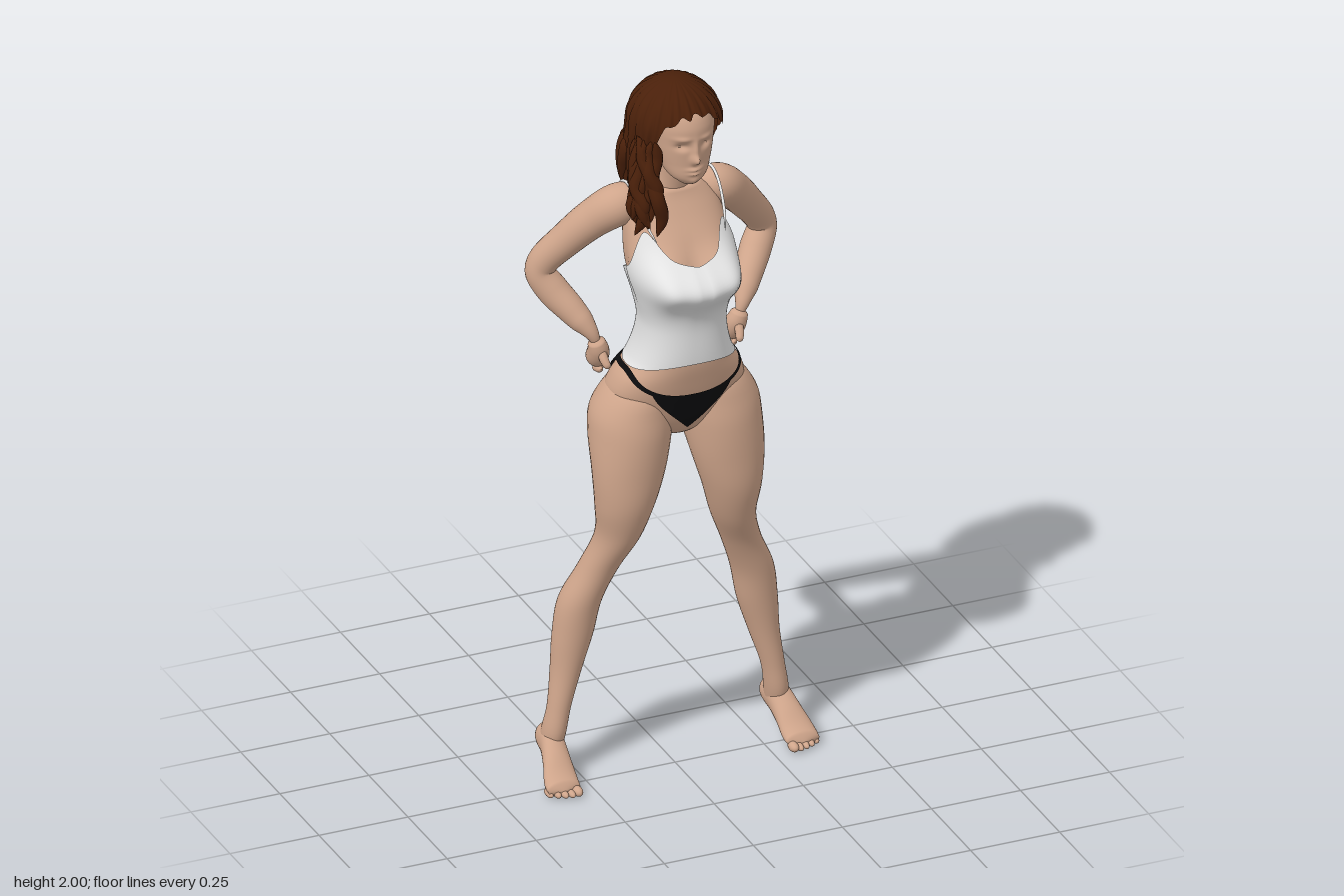
import * as THREE from 'three';

const { sin, cos, abs, sign, min, max, sqrt, exp, PI } = Math;
const mat = (name, color, side = THREE.FrontSide) => {
  const m = new THREE.MeshStandardMaterial({ color, side });
  m.name = name;
  return m;
};

// Smooth lookup in a table of rows [key, values...]
function at(table, k) {
  const n = table.length;
  k = min(max(k, table[0][0]), table[n - 1][0]);
  let i = 0;
  while (i < n - 2 && k > table[i + 1][0]) i++;
  const h = table[i + 1][0] - table[i][0], t = (k - table[i][0]) / h;
  const slope = (j, c) => {
    const a = table[max(j - 1, 0)], b = table[min(j + 1, n - 1)];
    return (b[c] - a[c]) / (b[0] - a[0]);
  };
  return table[i].slice(1).map((p, c) => {
    const q = table[i + 1][c + 1], t2 = t * t, t3 = t2 * t;
    return p * (2 * t3 - 3 * t2 + 1) + q * (3 * t2 - 2 * t3)
      + h * ((t3 - 2 * t2 + t) * slope(i, c + 1) + (t3 - t2) * slope(i + 1, c + 1));
  });
}

// Closed-loop surface from f(angle, v); cap collapses the end rings
function surface(f, nu, nv, cap = true) {
  const pos = [], index = [];
  for (let j = 0; j <= nv; j++) {
    const ring = [];
    for (let i = 0; i < nu; i++) ring.push(f(i / nu * 2 * PI, j / nv));
    const mean = [0, 1, 2].map(c => ring.reduce((s, p) => s + p[c], 0) / nu);
    for (const p of ring) pos.push(...(cap && (j === 0 || j === nv) ? mean : p));
  }
  for (let j = 0; j < nv; j++) for (let i = 0; i < nu; i++) {
    const a = j * nu + i, b = j * nu + (i + 1) % nu;
    index.push(a, b, b + nu, a, b + nu, a + nu);
  }
  const g = new THREE.BufferGeometry();
  g.setAttribute('position', new THREE.Float32BufferAttribute(pos, 3));
  g.setIndex(index);
  g.computeVertexNormals();
  return g;
}

// Tapering tube through points [x, y, z, radius]
function limb(pts, nu = 20, nv = 40) {
  const curve = new THREE.CatmullRomCurve3(pts.map(p => new THREE.Vector3(...p.slice(0, 3))));
  const fr = curve.computeFrenetFrames(nv), radii = pts.map((p, i) => [i, p[3]]);
  return surface((a, v) => {
    const j = Math.round(v * nv), t = curve.getUtoTmapping(v);
    const r = at(radii, t * (pts.length - 1))[0] * min(1, sqrt(min(v, 1 - v) * 8 + 0.05));
    return curve.getPoint(t).addScaledVector(fr.normals[j], r * cos(a))
      .addScaledVector(fr.binormals[j], r * sin(a)).toArray();
  }, nu, nv);
}

function ellipsoid(x, y, z, rx, ry, rz) {
  return new THREE.SphereGeometry(1, 20, 14).scale(rx, ry, rz).translate(x, y, z);
}

function mirrored(g) {
  const m = g.clone().scale(-1, 1, 1), ix = m.index.array;
  for (let i = 0; i < ix.length; i += 3) [ix[i], ix[i + 1]] = [ix[i + 1], ix[i]];
  return m;
}

const bell = (x, y, x0, y0, sx, sy) => exp(-(((x - x0) / sx) ** 2) - ((y - y0) / sy) ** 2);

// Torso: y, half width, front z, back z
const TORSO = [
  [0.97, 0.03, 0.03, -0.04], [1.0, 0.09, 0.062, -0.085], [1.04, 0.15, 0.085, -0.118],
  [1.1, 0.186, 0.105, -0.128], [1.16, 0.172, 0.122, -0.11], [1.22, 0.13, 0.135, -0.085],
  [1.32, 0.107, 0.138, -0.06], [1.4, 0.12, 0.138, -0.065], [1.48, 0.138, 0.122, -0.088],
  [1.56, 0.137, 0.088, -0.1], [1.62, 0.125, 0.052, -0.1], [1.66, 0.095, 0.03, -0.085], [1.69, 0.05, 0.02, -0.06],
];
function torsoPoint(a, y, grow = 0, fabric = 0) {
  const [w, f, b] = at(TORSO, y), s = sin(a), c = cos(a);
  let x = (w + grow) * sign(s) * abs(s) ** 0.88;
  let z = (f + b) / 2 + ((f - b) / 2 + grow) * sign(c) * abs(c) ** 0.88;
  if (c > 0) {
    const k = bell(abs(x), y, 0.078, 1.465, 0.06, 0.062);
    z += sqrt(c) * (0.078 * k + fabric * 0.062 * bell(x, y, 0, 1.46, 0.042, 0.065));
    x += sign(x) * 0.014 * k;
  } else z -= sqrt(-c) * 0.04 * bell(abs(x), y, 0.085, 1.07, 0.06, 0.07);
  return [x, y, z];
}
// Band of cloth that follows the torso between two edges
const cloth = (low, top, grow, fabric, nv) => surface((a, v) =>
  torsoPoint(a, low(a) + (top(a) - low(a)) * v, grow, fabric), 120, nv, false);

// Leg: y, centre x, centre z, half width, half depth
const LEG = [
  [0.06, 0.316, -0.085, 0.024, 0.034], [0.12, 0.313, -0.068, 0.031, 0.04], [0.2, 0.3, -0.06, 0.031, 0.034],
  [0.3, 0.278, -0.067, 0.041, 0.043], [0.4, 0.259, -0.067, 0.054, 0.052], [0.5, 0.241, -0.06, 0.057, 0.058],
  [0.6, 0.2, -0.035, 0.053, 0.056], [0.7, 0.162, 0.0, 0.059, 0.066], [0.8, 0.15, 0.02, 0.079, 0.078],
  [0.9, 0.138, 0.018, 0.098, 0.089], [1.0, 0.126, -0.004, 0.109, 0.112], [1.06, 0.119, -0.012, 0.107, 0.112],
  [1.12, 0.105, -0.01, 0.085, 0.095], [1.16, 0.1, -0.01, 0.05, 0.06],
];
// Foot: z, centre x, centre y, half width, half height
const FOOT = [
  [-0.135, 0.315, 0.095, 0.012, 0.016], [-0.115, 0.315, 0.096, 0.028, 0.034], [-0.06, 0.319, 0.09, 0.033, 0.046],
  [-0.01, 0.327, 0.06, 0.039, 0.038], [0.03, 0.334, 0.03, 0.046, 0.028], [0.065, 0.336, 0.018, 0.044, 0.015],
];
// Head: y, half width, front z, back z
const HEAD = [
  [1.725, 0.02, 0.095, 0.05], [1.75, 0.05, 0.112, 0.0], [1.79, 0.068, 0.114, -0.04], [1.84, 0.079, 0.118, -0.07],
  [1.9, 0.083, 0.12, -0.09], [1.95, 0.07, 0.09, -0.075], [1.98, 0.02, 0.03, -0.02],
];
// Hair: y, half width, front z, back z
const HAIR = [
  [1.58, 0.09, 0.05, -0.14], [1.64, 0.1, 0.06, -0.162], [1.72, 0.115, 0.09, -0.162],
  [1.8, 0.122, 0.118, -0.142], [1.88, 0.121, 0.142, -0.128], [2.0, 0.121, 0.142, -0.126],
];
// Lower edge of the hair by angle in degrees from the front
const HAIRLINE = [
  [-180, 1.65], [-110, 1.65], [-75, 1.68], [-58, 1.76], [-45, 1.88], [-25, 1.925], [10, 1.938],
  [35, 1.92], [55, 1.885], [80, 1.845], [95, 1.77], [115, 1.68], [180, 1.65],
];

function headPoint(a, v) {
  const y = 1.725 + 0.255 * v, [w, f, b] = at(HEAD, y), c = cos(a);
  const x = w * sin(a);
  let z = (f + b) / 2 + (f - b) / 2 * sign(c) * abs(c) ** 0.9;
  if (c > 0) z += 0.022 * bell(x, y, 0, 1.808, 0.011, 0.014) + 0.012 * bell(x, y, 0, 1.835, 0.008, 0.025)
    + 0.008 * bell(x, y, 0, 1.777, 0.018, 0.005) + 0.008 * bell(x, y, 0, 1.765, 0.015, 0.005)
    + 0.006 * bell(x, y, 0, 1.74, 0.016, 0.01) - 0.011 * bell(abs(x), y, 0.033, 1.845, 0.016, 0.01)
    + 0.005 * bell(abs(x), y, 0.034, 1.868, 0.02, 0.007);
  return [x + 0.006, y, z];
}

function hairPoint(a, y, grow = 0) {
  const [w, f, b] = at(HAIR, y), dome = y > 1.88 ? sqrt(max(0, 1 - ((y - 1.88) / 0.12) ** 2)) : 1;
  const k = dome * (1 + grow + 0.022 * sin(24 * a + 18 * y) + 0.012 * sin(41 * a - 30 * y));
  return [w * k * sin(a) - 0.006, y, (f + b) / 2 + (f - b) / 2 * k * cos(a)];
}

export function createModel() {
  const model = new THREE.Group();
  model.name = 'standingFigure';
  const skin = mat('skin', 0xcfa58b), hairMat = mat('brownHair', 0x4a200a, THREE.DoubleSide);
  const white = mat('whiteCloth', 0xe4e4e4, THREE.DoubleSide), black = mat('blackCloth', 0x0c0c0e, THREE.DoubleSide);
  const add = (name, g, m) => {
    const mesh = new THREE.Mesh(g, m);
    mesh.name = name;
    model.add(mesh);
  };
  const pair = (name, g, m) => {
    add(name + 'Left', g, m);
    add(name + 'Right', mirrored(g), m);
  };

  // Body
  add('torso', surface((a, v) => torsoPoint(a, 0.97 + 0.72 * v), 80, 72), skin);
  add('neck', limb([[0, 1.6, -0.05, 0.06], [0, 1.67, -0.03, 0.05], [0.003, 1.72, -0.01, 0.043], [0.005, 1.8, 0.015, 0.045]]), skin);
  add('head', surface(headPoint, 110, 80), skin);
  for (const s of [-1, 1]) {
    add('ear', ellipsoid(0.006 + s * 0.083, 1.83, 0.005, 0.01, 0.028, 0.017), skin);
    add('eye', ellipsoid(0.006 + s * 0.033, 1.844, 0.089, 0.013, 0.007, 0.011), skin);
  }

  // Legs, feet and toes
  pair('leg', surface((a, v) => {
    const y = 0.06 + 1.1 * v, [x, z, rx, rz] = at(LEG, y);
    return [x + rx * sin(a), y, z + rz * cos(a)];
  }, 36, 70), skin);
  pair('foot', surface((a, v) => {
    const z = -0.135 + 0.2 * v, [x, y, rx, ry] = at(FOOT, z);
    return [x + rx * cos(a), max(0, y + ry * sin(a)), z];
  }, 28, 26), skin);
  for (let i = 0; i < 5; i++) {
    const r = i ? 0.0095 : 0.013;
    pair('toe', ellipsoid(0.303 + i * 0.0175, r, 0.066 - i * i * 0.0015, r, r, 0.022), skin);
  }

  // Arms bent at the elbow, hands resting on the hips
  pair('arm', limb([
    [0.03, 1.64, -0.045, 0.035], [0.09, 1.638, -0.045, 0.046], [0.14, 1.628, -0.05, 0.056], [0.195, 1.585, -0.08, 0.051],
    [0.255, 1.515, -0.12, 0.045], [0.303, 1.45, -0.152, 0.041], [0.312, 1.42, -0.155, 0.039], [0.285, 1.37, -0.135, 0.042],
    [0.247, 1.32, -0.095, 0.037], [0.212, 1.268, -0.052, 0.026], [0.197, 1.23, -0.045, 0.024],
  ], 28, 80), skin);
  pair('palm', limb([[0.205, 1.255, -0.045, 0.02], [0.194, 1.22, -0.05, 0.028], [0.188, 1.19, -0.07, 0.03], [0.18, 1.175, -0.09, 0.022]]), skin);
  for (let i = 0; i < 4; i++) {
    const y = 1.202 - i * 0.014, z = -0.083 + i * 0.008;
    pair('finger', limb([[0.188, y, z + 0.015, 0.01], [0.187, y - 0.01, z - 0.02, 0.0105],
      [0.172, y - 0.022, z - 0.04, 0.0095], [0.155, y - 0.03, z - 0.053, 0.008]], 10, 12), skin);
  }
  pair('thumb', limb([[0.192, 1.225, -0.04, 0.013], [0.19, 1.2, -0.02, 0.012], [0.183, 1.18, -0.005, 0.009]], 10, 12), skin);

  // Camisole with thin shoulder straps
  const neckline = [[0, 1.515], [22, 1.535], [42, 1.585], [52, 1.585], [80, 1.5], [120, 1.455], [150, 1.45], [180, 1.415]];
  add('camisole', cloth(a => 1.215 + 0.012 * cos(2 * a),
    a => at(neckline, abs(a > PI ? a - 2 * PI : a) * 180 / PI)[0], 0.008, 1, 40), white);
  pair('strap', limb([[0.095, 1.575, 0.105, 0.004], [0.11, 1.62, 0.062, 0.004], [0.118, 1.675, 0.005, 0.004],
    [0.118, 1.692, -0.04, 0.004], [0.115, 1.665, -0.09, 0.004], [0.1, 1.58, -0.11, 0.004], [0.088, 1.44, -0.088, 0.004]], 8, 40), white);

  // Briefs with narrow side strings
  const top = a => {
    const x = 0.18 * abs(sin(a));
    return cos(a) > 0 ? 1.13 + 2.2 * x * x : 1.19 + 0.34 * x * x;
  };
  const low = a => {
    const x = 0.18 * abs(sin(a));
    return min(cos(a) > 0 ? 1.012 + 1.1 * x + 2 * x * x : 1.0 + 1.1 * x, top(a) - 0.012);
  };
  add('briefs', cloth(low, top, 0.007, 0, 20), black);

  // Hair cap, loose back locks and the long lock over the right shoulder
  add('hairCap', surface((a, v) => {
    const edge = at(HAIRLINE, (a > PI ? a - 2 * PI : a) * 180 / PI)[0] + 0.006 * sin(17 * a);
    return hairPoint(a, 2 - (2 - edge) * (1 - v) ** 1.7);
  }, 180, 44, false), hairMat);
  for (let i = 0; i < 13; i++) {
    const a = (105 + i * 12.5) * PI / 180, end = 1.635 + 0.02 * sin(i * 2.3);
    const pts = [0, 1, 2, 3, 4].map(k => {
      const [x, y, z] = hairPoint(a + 0.07 * sin(k * 1.8 + i), 1.83 + (end - 1.83) * k / 4, -0.05);
      return [x, y, z, [0.012, 0.019, 0.021, 0.018, 0.006][k]];
    });
    add('backLock', limb(pts, 10, 24), hairMat);
  }
  for (let i = 0; i < 9; i++) {
    const f = i / 8, end = 1.59 + 0.05 * abs(sin(i * 1.9));
    const pts = [0, 1, 2, 3, 4, 5].map(k => {
      const t = k / 5, wave = 0.01 * sin(k * 2 + i * 1.3);
      return [-0.098 - 0.02 * sin(f * PI) - t * (0.052 * f - 0.012) + wave, 1.87 + (end - 1.87) * t,
        0.085 - 0.07 * f + t * (0.015 + 0.03 * f) + 0.01 * cos(k * 2 + i), [0.01, 0.015, 0.018, 0.019, 0.017, 0.006][k]];
    });
    add('shoulderLock', limb(pts, 10, 30), hairMat);
  }
  return model;
}
